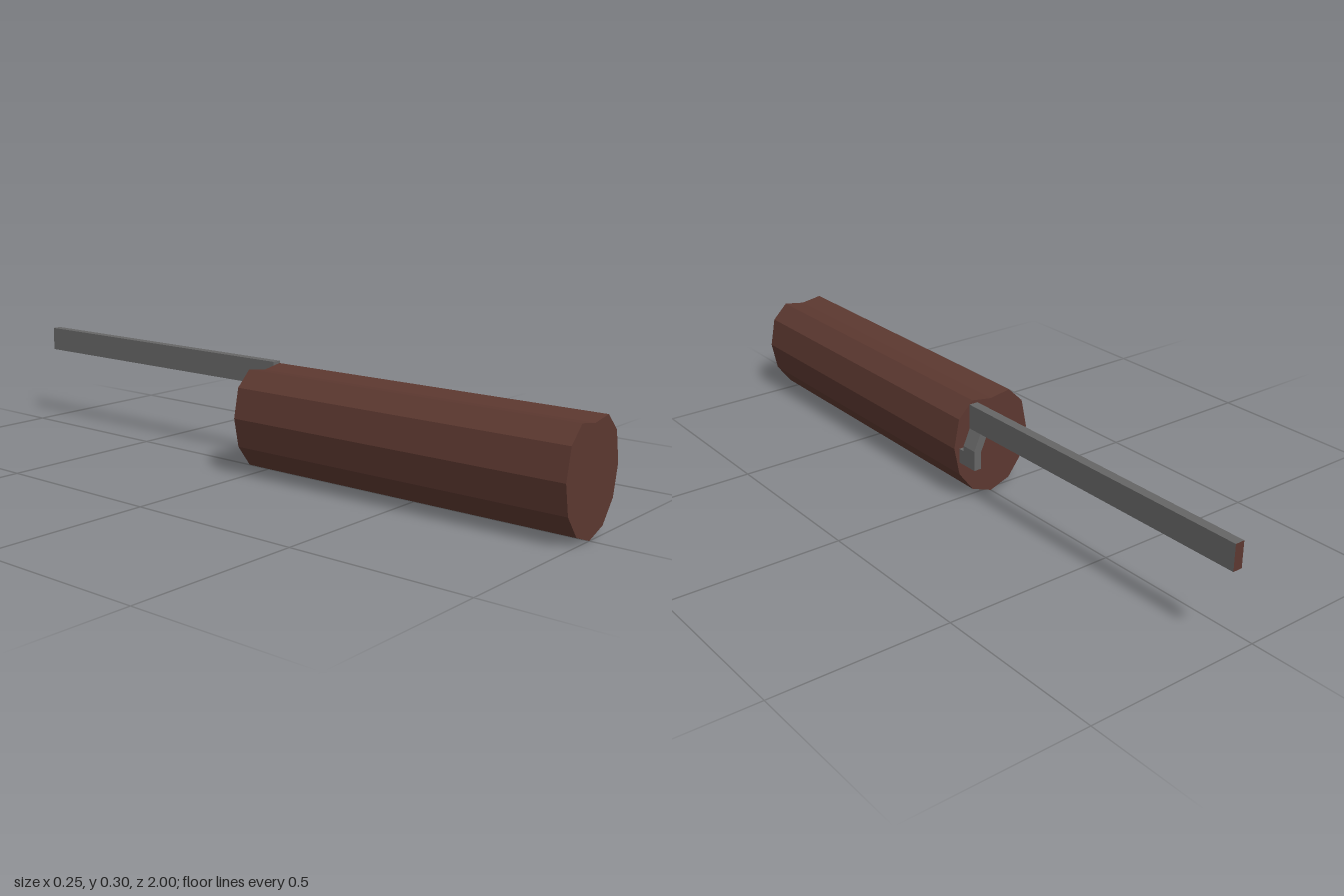
import * as THREE from 'three';

export function createModel() {
  const wood = new THREE.MeshStandardMaterial({ color: 0x5c3830 });
  wood.name = 'brownWood';
  const steel = new THREE.MeshStandardMaterial({ color: 0x666666 });
  steel.name = 'greySteel';

  const model = new THREE.Group();
  model.name = 'crankTool';

  function add(name, geometry, material) {
    const mesh = new THREE.Mesh(geometry, material);
    mesh.name = name;
    model.add(mesh);
  }

  // Extrude an x-y outline between two z positions
  function prism(points, z0, z1) {
    const shape = new THREE.Shape(points.map(([x, y]) => new THREE.Vector2(x, y)));
    return new THREE.ExtrudeGeometry(shape, { depth: z1 - z0, bevelEnabled: false }).translate(0, 0, z0);
  }

  // Box given by its minimum and maximum corners
  function box([x0, y0, z0], [x1, y1, z1]) {
    return new THREE.BoxGeometry(x1 - x0, y1 - y0, z1 - z0)
      .translate((x0 + x1) / 2, (y0 + y1) / 2, (z0 + z1) / 2);
  }

  // Handle: faceted prism with a shallow groove along its top
  const half = [[0, 0], [0.064, 0.023], [0.11, 0.083], [0.127, 0.166], [0.11, 0.25], [0.064, 0.295], [0, 0.285]];
  const mirrored = half.slice(1, -1).reverse().map(([x, y]) => [-x, y]);
  add('handle', prism([...half, ...mirrored], -0.015, 1), wood);

  // Rod: long bar with a brown rear end
  add('rod', box([0.062, 0.225, -1], [0.089, 0.296, -0.035]), [steel, steel, steel, steel, steel, wood]);

  // Crank arm: slants outward below the rod, then drops straight
  add('crankArm', prism([
    [0.062, 0.225], [0.087, 0.17], [0.087, 0.12], [0.11, 0.12], [0.11, 0.178], [0.089, 0.225],
  ], -0.083, -0.035), steel);

  // Peg joining the arm to the handle
  add('peg', box([0.087, 0.12, -0.035], [0.11, 0.162, -0.015]), steel);

  return model;
}
